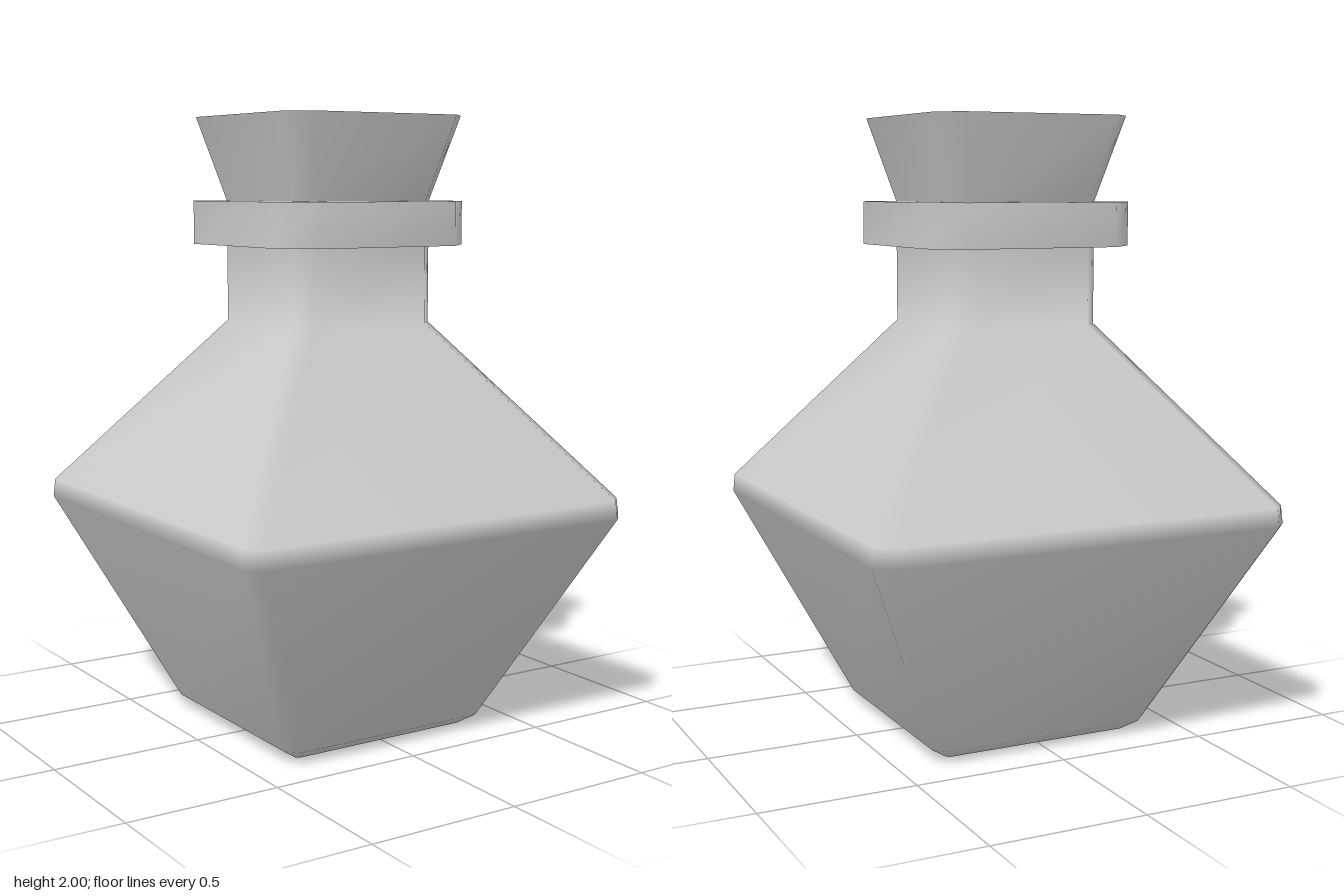
import * as THREE from 'three';

// Square of half-width h with its corners cut by c, as eight [x, z] points
function ring(h, c) {
  const s = h - c;
  return [[h, s], [s, h], [-s, h], [-h, s], [-h, -s], [-s, -h], [s, -h], [h, -s]];
}

// Lofts cut-corner squares given as [half-width, y, corner cut], bottom to top.
// Walls are smooth; caps have their own vertices so their edges stay sharp.
function loft(sections) {
  const pos = [], index = [], n = 8;
  const addRing = ([h, y, c]) => ring(h, c).forEach(([x, z]) => pos.push(x, y, z));
  sections.forEach(addRing);
  for (let r = 0; r < sections.length - 1; r++) {
    for (let i = 0; i < n; i++) {
      const a = r * n + i, b = r * n + (i + 1) % n;
      index.push(a, a + n, b, b, a + n, b + n);
    }
  }
  const addCap = (section, up) => {
    const start = pos.length / 3;
    addRing(section);
    for (let i = 1; i < n - 1; i++) {
      if (up) index.push(start, start + i + 1, start + i);
      else index.push(start, start + i, start + i + 1);
    }
  };
  addCap(sections[0], false);
  addCap(sections[sections.length - 1], true);
  const geometry = new THREE.BufferGeometry();
  geometry.setAttribute('position', new THREE.Float32BufferAttribute(pos, 3));
  geometry.setIndex(index);
  geometry.computeVertexNormals();
  return geometry;
}

export function createModel() {
  const group = new THREE.Group();
  group.name = 'bottle';
  const material = new THREE.MeshStandardMaterial({ color: 0xcccccc });
  const add = (name, sections) => {
    const mesh = new THREE.Mesh(loft(sections), material);
    mesh.name = name;
    group.add(mesh);
  };

  // Flared body narrowing into a straight neck
  add('bodyAndNeck', [
    [0.32, 0, 0.01],
    [0.38, 0.04, 0.04],
    [0.70, 0.72, 0.045],
    [0.695, 0.78, 0.045],
    [0.257, 1.34, 0.05],
    [0.257, 1.6, 0.05],
  ]);

  // Lip around the mouth
  add('collar', [
    [0.355, 1.59, 0.1],
    [0.355, 1.73, 0.1],
  ]);

  // Stopper widening upwards
  add('stopper', [
    [0.257, 1.73, 0.05],
    [0.335, 2, 0.065],
  ]);

  return group;
}
